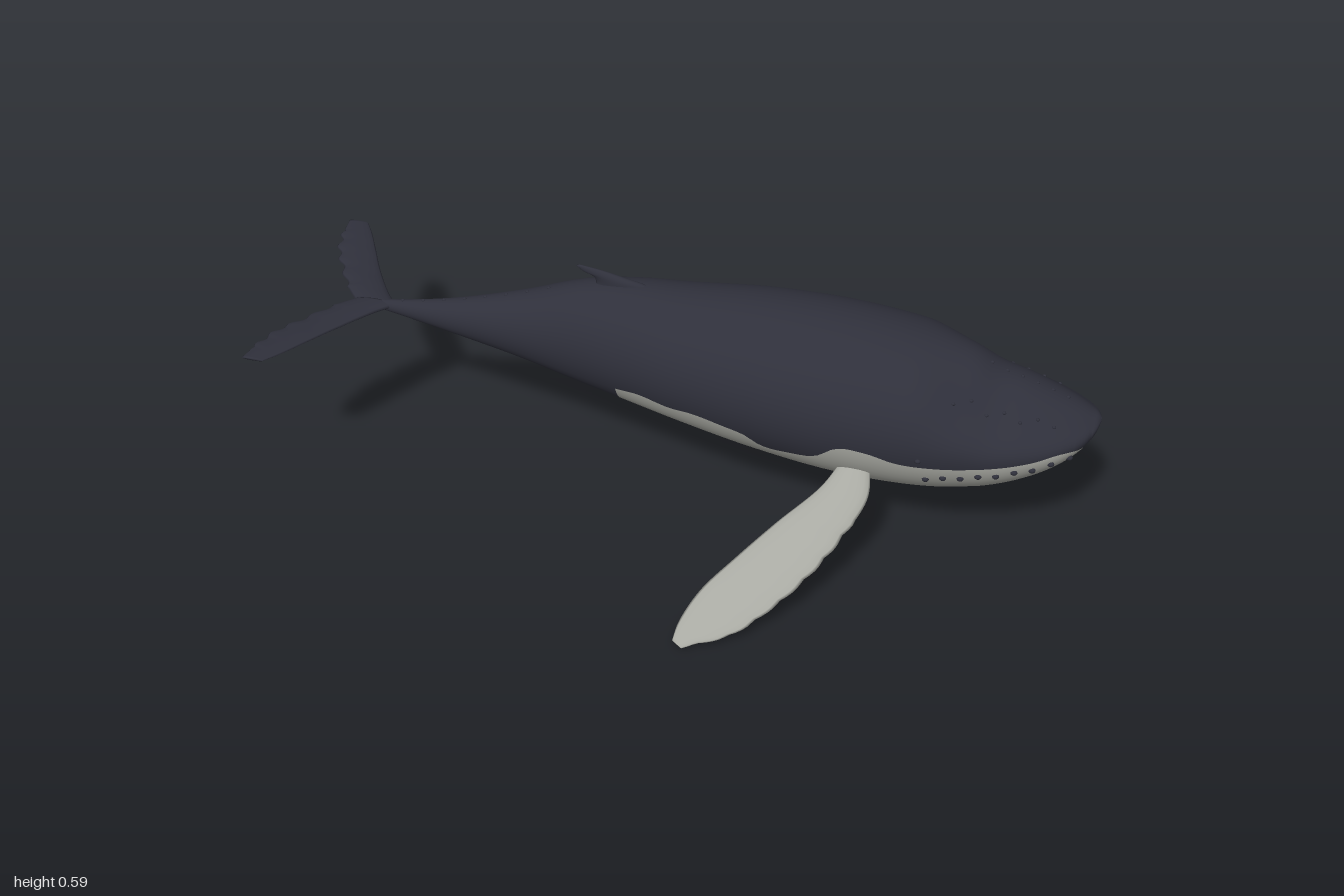
import * as THREE from 'three';

const mat = (name, color) => Object.assign(new THREE.MeshStandardMaterial({ color }), { name });

// Smooth lookup through rows of [x, ...values], in rising x
function table(rows) {
  const n = rows[0].length - 1;
  const f = new THREE.CubicInterpolant(rows.map(r => r[0]), rows.flatMap(r => r.slice(1)), n);
  return x => Array.from(f.evaluate(x));
}

// x, back height, belly height, half width
const profile = table([
  [-0.84, 0.398, 0.388, 0.004], [-0.76, 0.405, 0.374, 0.013], [-0.6, 0.432, 0.345, 0.037],
  [-0.4, 0.488, 0.306, 0.075], [-0.25, 0.54, 0.268, 0.106], [-0.12, 0.557, 0.24, 0.133],
  [0, 0.56, 0.215, 0.157], [0.2, 0.57, 0.178, 0.19], [0.4, 0.563, 0.152, 0.205],
  [0.57, 0.539, 0.15, 0.203], [0.66, 0.517, 0.16, 0.196], [0.7, 0.503, 0.169, 0.19],
  [0.75, 0.476, 0.183, 0.181], [0.82, 0.454, 0.212, 0.163], [0.89, 0.428, 0.252, 0.133],
  [0.94, 0.407, 0.292, 0.098], [0.97, 0.392, 0.326, 0.064], [0.985, 0.384, 0.35, 0.035],
  [0.992, 0.377, 0.368, 0.008],
]);

// Height of the edge between the dark back and the pale belly
const colourEdge = table([
  [-0.84, 0.393], [-0.5, 0.37], [-0.25, 0.335], [-0.14, 0.33], [-0.08, 0.336], [0, 0.322],
  [0.06, 0.325], [0.14, 0.312], [0.19, 0.3], [0.23, 0.27], [0.3, 0.27], [0.36, 0.282],
  [0.41, 0.325], [0.48, 0.326], [0.55, 0.307], [0.65, 0.306], [0.75, 0.316], [0.85, 0.332],
  [0.91, 0.345], [0.95, 0.34], [0.975, 0.33], [0.992, 0.3],
]);

// Point on the skin at station x and section angle a (0 = left flank, PI/2 = back)
function skin(x, a) {
  const [top, bottom, w] = profile(x);
  const s = Math.sin(a);
  const head = THREE.MathUtils.smoothstep(x, 0.56, 0.72);
  const pinch = s > 0 ? 1 - 0.13 * head * Math.sin(2 * a) ** 2 : 1;
  return [x, (top + bottom) / 2 + (top - bottom) / 2 * s * pinch, w * Math.cos(a) * pinch];
}

function angleAt(x, y) {
  const [top, bottom] = profile(x);
  return Math.asin(THREE.MathUtils.clamp((2 * y - top - bottom) / (top - bottom), -0.99, 0.99));
}

// Body: one closed skin whose columns follow the colour edge
function bodyGeometry() {
  const xs = [];
  for (let i = 0; i < 20; i++) xs.push(-0.84 + 0.7 * i / 20);
  for (let i = 0; i < 72; i++) xs.push(-0.14 + 1.08 * i / 72);
  for (let i = 0; i <= 14; i++) xs.push(0.94 + 0.052 * (1 - (1 - i / 14) ** 2));
  const up = 32, low = 28, n = up + low, pos = [], dark = [], pale = [];
  for (const x of xs) {
    const a = angleAt(x, colourEdge(x)[0]);
    for (let j = 0; j < n; j++) {
      const t = j < up ? a + (Math.PI - 2 * a) * j / up
        : Math.PI - a + (Math.PI + 2 * a) * (j - up) / low;
      pos.push(...skin(x, t));
    }
  }
  for (let i = 0; i < xs.length - 1; i++) {
    for (let j = 0; j < n; j++) {
      const a = i * n + j, b = i * n + (j + 1) % n;
      const light = j >= up && xs[i] > -0.145 && xs[i] < 0.976;
      (light ? pale : dark).push(a, a + n, b, b, a + n, b + n);
    }
  }
  // End caps
  const last = (xs.length - 1) * n;
  for (let j = 1; j < n - 1; j++) dark.push(0, j, j + 1, last, last + j + 1, last + j);
  const g = new THREE.BufferGeometry();
  g.setAttribute('position', new THREE.Float32BufferAttribute(pos, 3));
  g.setIndex([...dark, ...pale]);
  g.addGroup(0, dark.length, 0);
  g.addGroup(dark.length, pale.length, 1);
  g.computeVertexNormals();
  return g;
}

// Fin lofted through stations [leading point, trailing point, thickness].
// thick is the thickness direction; wave(t) shifts the two edges along the chord.
function finGeometry(stations, thick, side, wave = () => [0, 0], rows = 48) {
  const v = p => new THREE.Vector3(...p);
  const lead = new THREE.CatmullRomCurve3(stations.map(s => v(s[0])));
  const trail = new THREE.CatmullRomCurve3(stations.map(s => v(s[1])));
  const fat = table(stations.map((s, i) => [i / (stations.length - 1), s[2]]));
  const n = 16, pos = [], top = [], under = [], dir = v(thick).normalize();
  for (let i = 0; i <= rows; i++) {
    const t = i / rows, L = lead.getPoint(t), T = trail.getPoint(t);
    const chord = L.clone().sub(T).normalize(), [wl, wt] = wave(t);
    L.addScaledVector(chord, wl);
    T.addScaledVector(chord, -wt);
    for (let j = 0; j < n; j++) {
      const a = j / n * Math.PI * 2;
      const p = T.clone().lerp(L, (1 + Math.cos(a)) / 2)
        .addScaledVector(dir, Math.sin(a) * fat(t)[0] / 2);
      pos.push(p.x, p.y, p.z * side);
    }
  }
  const face = (list, a, b, c) => side > 0 ? list.push(a, b, c) : list.push(a, c, b);
  for (let i = 0; i < rows; i++) {
    for (let j = 0; j < n; j++) {
      const a = i * n + j, b = i * n + (j + 1) % n, list = j > 8 && j < 15 ? under : top;
      face(list, a, b, a + n);
      face(list, b, b + n, a + n);
    }
  }
  for (let j = 1; j < n - 1; j++) {
    face(top, 0, j + 1, j);
    face(top, rows * n, rows * n + j, rows * n + j + 1);
  }
  const g = new THREE.BufferGeometry();
  g.setAttribute('position', new THREE.Float32BufferAttribute(pos, 3));
  g.setIndex([...top, ...under]);
  g.addGroup(0, top.length, 0);
  g.addGroup(top.length, under.length, 1);
  g.computeVertexNormals();
  return g;
}

export function createModel() {
  const whale = new THREE.Group();
  whale.name = 'whale';
  const dark = mat('dark skin', 0x2f303b), pale = mat('pale skin', 0xa8a9a2);
  const add = (name, geometry, material) => {
    const m = new THREE.Mesh(geometry, material);
    m.name = name;
    whale.add(m);
    return m;
  };
  add('body', bodyGeometry(), [dark, pale]);

  // Hooked dorsal fin
  add('dorsalFin', finGeometry([
    [[-0.05, 0.53, 0], [-0.23, 0.52, 0], 0.03], [[-0.085, 0.556, 0], [-0.215, 0.55, 0], 0.026],
    [[-0.14, 0.57, 0], [-0.222, 0.566, 0], 0.02], [[-0.2, 0.584, 0], [-0.247, 0.576, 0], 0.012],
    [[-0.255, 0.592, 0], [-0.263, 0.588, 0], 0.004],
  ], [0, 0, -1], 1, undefined, 16), dark);

  // Flippers slope down and out; their height depends on distance from the body
  const flip = (x, z) => [x, 0.232 - 0.585 * (z - 0.2), z];
  const flipper = [
    [flip(0.49, 0.16), flip(0.42, 0.16), 0.028], [flip(0.497, 0.23), flip(0.385, 0.22), 0.03],
    [flip(0.452, 0.325), flip(0.3, 0.31), 0.028], [flip(0.4, 0.405), flip(0.225, 0.395), 0.024],
    [flip(0.33, 0.485), flip(0.16, 0.475), 0.02], [flip(0.25, 0.552), flip(0.128, 0.545), 0.016],
    [flip(0.145, 0.594), flip(0.123, 0.583), 0.008],
  ];
  // Tail flukes with ragged trailing edges
  const fluke = [
    [[-0.74, 0.392, 0], [-0.85, 0.392, 0], 0.024], [[-0.775, 0.394, 0.04], [-0.885, 0.394, 0.04], 0.022],
    [[-0.835, 0.397, 0.13], [-0.935, 0.397, 0.12], 0.018], [[-0.88, 0.402, 0.21], [-0.975, 0.402, 0.19], 0.015],
    [[-0.92, 0.406, 0.28], [-0.993, 0.406, 0.26], 0.012], [[-0.947, 0.409, 0.32], [-1, 0.41, 0.32], 0.007],
  ];
  const knob = new THREE.SphereGeometry(1, 10, 8);
  const addKnob = (name, p, r) => {
    const k = add(name, knob, dark);
    k.position.set(...p);
    k.scale.set(r * 1.2, r, r);
  };

  for (const side of [1, -1]) {
    const label = side > 0 ? 'right' : 'left';
    add((side > 0 ? 'right' : 'left') + 'Flipper', finGeometry(flipper, [0, 1, 0.585], side,
      t => [t > 0.25 ? 0.006 * Math.abs(Math.sin(t * 30)) - 0.003 : 0, 0]), pale);
    add(label + 'Fluke', finGeometry(fluke, [0, 1, 0], side,
      t => [0, t > 0.2 && t < 0.85 ? 0.006 * Math.sin(t * 42) : 0]), [dark, pale]);

    // Dark knobs along the lower jaw, in two rough rows
    for (let i = 0; i < 9; i++) {
      const x = 0.62 + i * 0.039, y = 0.262 + i * 0.0075 + (i % 2) * 0.005;
      const p = skin(x, angleAt(x, y));
      addKnob('jawKnob', [p[0], p[1], p[2] * side], 0.007);
    }
    // Knobs along the side of the snout
    for (let i = 0; i < 7; i++) {
      const p = skin(0.66 + i * 0.038, 0.75 + (i % 2) * 0.12);
      addKnob('snoutKnob', [p[0], p[1], p[2] * side], 0.004);
    }
    const e = skin(0.6, angleAt(0.6, 0.325));
    addKnob('eye', [e[0], e[1], e[2] * side], 0.006);
  }

  // Knobs along the middle of the snout and the ridge of the tail
  for (let i = 0; i < 6; i++) addKnob('crownKnob', skin(0.73 + i * 0.036, Math.PI / 2), 0.004);
  for (let i = 0; i < 8; i++) addKnob('tailRidgeKnob', skin(-0.72 + i * 0.055, Math.PI / 2), 0.004);
  return whale;
}
